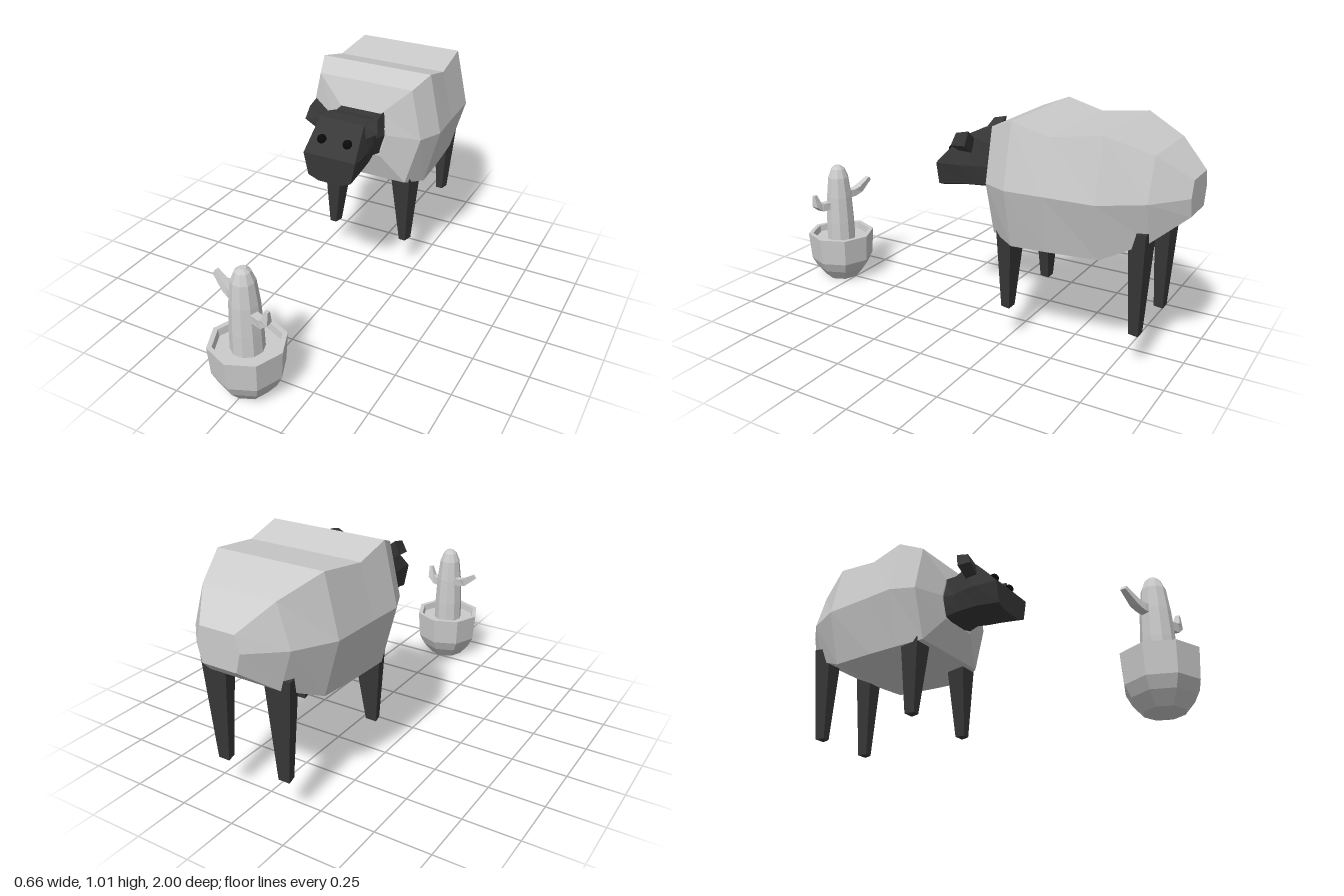
import * as THREE from 'three';

const grey = new THREE.MeshStandardMaterial({ color: 0xcccccc, flatShading: true });
const dark = new THREE.MeshStandardMaterial({ color: 0x383838, flatShading: true });
const black = new THREE.MeshStandardMaterial({ color: 0x0a0a0a });

// Skins a row of rings ([x, y, z] points) and closes both ends.
function loft(rings) {
  const tris = [];
  const n = rings[0].length;
  for (let i = 0; i < rings.length - 1; i++) {
    const a = rings[i], b = rings[i + 1];
    for (let j = 0; j < n; j++) {
      const k = (j + 1) % n;
      tris.push([a[j], b[j], b[k]], [a[j], b[k], a[k]]);
    }
  }
  const end = rings[rings.length - 1];
  for (let j = 1; j < n - 1; j++) {
    tris.push([rings[0][0], rings[0][j], rings[0][j + 1]], [end[0], end[j + 1], end[j]]);
  }
  // Turn the faces outward whatever the ring direction
  const c = new THREE.Vector3(...rings[0][0]);
  let volume = 0;
  for (const t of tris) {
    const [p, q, r] = t.map((v) => new THREE.Vector3(...v).sub(c));
    volume += p.dot(q.cross(r));
  }
  if (volume < 0) tris.forEach((t) => t.reverse());
  const g = new THREE.BufferGeometry();
  g.setAttribute('position', new THREE.Float32BufferAttribute(tris.flat(2), 3));
  g.computeVertexNormals();
  return g;
}

function add(parent, name, geometry, material) {
  const mesh = new THREE.Mesh(geometry, material);
  mesh.name = name;
  parent.add(mesh);
  return mesh;
}

// Symmetric ring at z from half-width/height pairs, listed top to bottom.
const ring = (z, half) => [
  ...half.map(([x, y]) => [x, y, z]),
  ...half.slice().reverse().map(([x, y]) => [-x, y, z]),
];

// Tapered leg whose front face is a little narrower than its back.
function leg(side, x0, x1, X0, X1, z, topY) {
  const section = (y, a, b, d, inset) => [
    [side * (a + inset), y, z + d], [side * (b - inset), y, z + d],
    [side * b, y, z - d], [side * a, y, z - d],
  ];
  return loft([section(topY, X0, X1, 0.04, 0.02), section(0.163, x0, x1, 0.022, 0.01)]);
}

// Four-sided branch along a path of [x, y, z, half-thickness].
function branch(path) {
  return loft(path.map(([x, y, z, r], i) => {
    const a = path[Math.max(i - 1, 0)], b = path[Math.min(i + 1, path.length - 1)];
    const l = Math.hypot(b[0] - a[0], b[1] - a[1]);
    const nx = -(b[1] - a[1]) / l * r, ny = (b[0] - a[0]) / l * r;
    return [[x + nx, y + ny, z + r], [x - nx, y - ny, z + r],
      [x - nx, y - ny, z - r], [x + nx, y + ny, z - r]];
  }));
}

function lathe(profile, sides) {
  return new THREE.LatheGeometry(profile.map(([r, y]) => new THREE.Vector2(r, y)), sides);
}

export function createModel() {
  const model = new THREE.Group();
  const sheep = new THREE.Group();
  sheep.name = 'sheep';
  model.add(sheep);

  // Woolly body: z, then top, middle and bottom half-widths with heights
  const body = [
    [-0.15, 0.10, 0.85, 0.13, 0.75, 0.10, 0.64],
    [-0.195, 0.23, 0.97, 0.28, 0.74, 0.21, 0.505],
    [-0.305, 0.27, 1.013, 0.33, 0.74, 0.26, 0.478],
    [-0.47, 0.265, 0.97, 0.32, 0.74, 0.255, 0.483],
    [-0.69, 0.25, 1.0, 0.31, 0.74, 0.24, 0.49],
    [-0.87, 0.17, 0.93, 0.225, 0.75, 0.17, 0.575],
    [-1.0, 0.08, 0.83, 0.1, 0.76, 0.08, 0.68],
  ].map(([z, tx, ty, mx, my, bx, by]) => ring(z, [[tx, ty], [mx, my], [bx, by]]));
  add(sheep, 'body', loft(body), grey);

  // Head and neck, from the muzzle back
  const head = [
    ring(0.15, [[0.125, 0.74], [0.127, 0.739], [0.105, 0.637], [0.055, 0.617]]),
    ring(0.03, [[0.108, 0.868], [0.13, 0.745], [0.105, 0.655], [0.055, 0.637]]),
    ring(-0.04, [[0.105, 0.868], [0.12, 0.75], [0.1, 0.66], [0.055, 0.643]]),
    ring(-0.1, [[0.095, 0.852], [0.105, 0.75], [0.09, 0.665], [0.055, 0.648]]),
    ring(-0.17, [[0.1, 0.85], [0.13, 0.75], [0.1, 0.65], [0.055, 0.64]]),
  ];
  add(sheep, 'head', loft(head), dark);

  for (const s of [1, -1]) {
    const name = s > 0 ? 'left' : 'right';
    add(sheep, name + 'Eye', new THREE.SphereGeometry(0.022, 12, 8), black)
      .position.set(s * 0.063, 0.795, 0.097);
    // Ear, flaring outward and up
    add(sheep, name + 'Ear', loft([
      [[s * 0.1, 0.865, 0.025], [s * 0.105, 0.80, 0.035],
        [s * 0.105, 0.80, -0.025], [s * 0.1, 0.865, -0.035]],
      [[s * 0.165, 0.9, 0.02], [s * 0.178, 0.845, 0.04],
        [s * 0.178, 0.85, -0.03], [s * 0.167, 0.915, -0.043]],
    ]), dark);
    add(sheep, name + 'FrontLeg', leg(s, 0.165, 0.217, 0.11, 0.245, -0.255, 0.52), dark);
    add(sheep, name + 'BackLeg', leg(s, 0.125, 0.178, 0.09, 0.215, -0.83, 0.62), dark);
  }

  const plant = new THREE.Group();
  plant.name = 'pottedCactus';
  plant.position.z = 0.833;
  model.add(plant);

  // Octagonal pot with a recessed soil floor
  add(plant, 'pot', lathe([
    [0, 0], [0.085, 0], [0.13, 0.055], [0.155, 0.105], [0.165, 0.237],
    [0.143, 0.237], [0.138, 0.205], [0, 0.205],
  ], 8), grey);

  // Cactus trunk and its two arms
  add(plant, 'cactusTrunk', lathe([
    [0.072, 0.2], [0.07, 0.3], [0.063, 0.43], [0.051, 0.53],
    [0.034, 0.572], [0.016, 0.588], [0, 0.588],
  ], 10).rotateY(Math.PI / 10 * 5), grey);
  add(plant, 'rightArm', branch([
    [-0.04, 0.427, -0.012, 0.019], [-0.08, 0.428, -0.025, 0.018],
    [-0.11, 0.44, -0.037, 0.018], [-0.172, 0.485, -0.055, 0.011],
  ]), grey);
  add(plant, 'leftArm', branch([
    [0.04, 0.387, 0.018, 0.019], [0.1, 0.388, 0.037, 0.019],
    [0.123, 0.405, 0.042, 0.017], [0.132, 0.457, 0.045, 0.008],
  ]), grey);

  return model;
}
